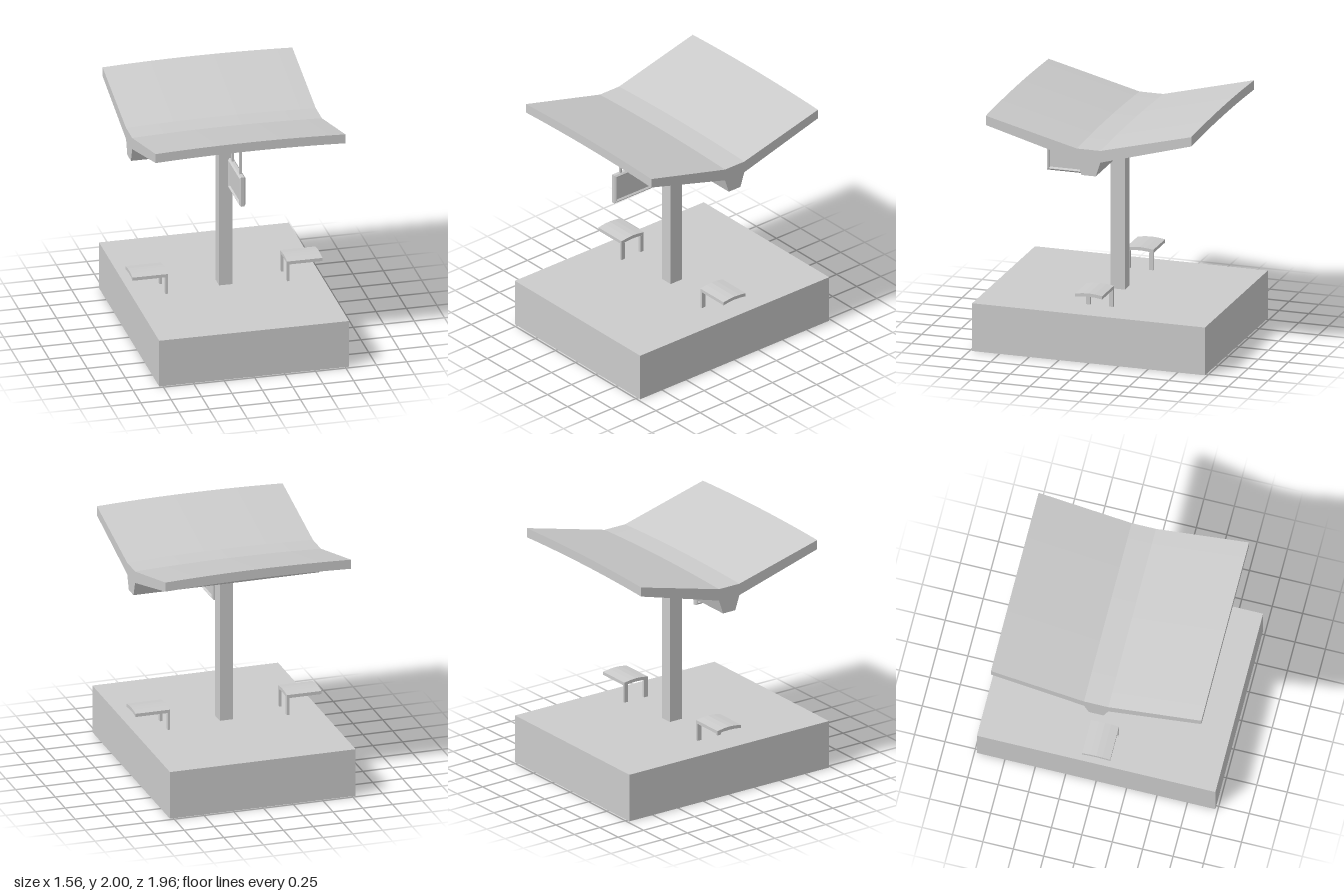
import * as THREE from 'three';

const material = new THREE.MeshStandardMaterial({ color: 0xcccccc, flatShading: true, side: THREE.DoubleSide });

function add(parent, name, geometry, x = 0, y = 0, z = 0) {
  const mesh = new THREE.Mesh(geometry, material);
  mesh.name = name;
  mesh.position.set(x, y, z);
  parent.add(mesh);
  return mesh;
}

function box(parent, name, w, h, d, x, y, z) {
  return add(parent, name, new THREE.BoxGeometry(w, h, d), x, y, z);
}

// Sweep a symmetric (z, y) half profile along x, centred on x = 0
function sweep(half, length, steps) {
  const mirrored = half.filter(([z]) => z > 0).map(([z, y]) => [-z, y]).reverse();
  const shape = new THREE.Shape([...half, ...mirrored].map(([z, y]) => new THREE.Vector2(z, y)));
  return new THREE.ExtrudeGeometry(shape, { depth: length, steps, bevelEnabled: false })
    .translate(0, 0, -length / 2)
    .rotateY(Math.PI / 2);
}

const rectangle = (Type, w, h) => new Type([[-w, -h], [w, -h], [w, h], [-w, h]]
  .map(([a, b]) => new THREE.Vector2(a, b)));

// Butterfly roof, gently arched along its length, with a beam below the valley
function roofGeometry() {
  const geometry = sweep([
    [0.06, 1.57], [0.1, 1.69], [0.865, 1.922], [0.865, 2], [0.1, 1.805],
  ], 1.56, 12);
  const p = geometry.attributes.position;
  for (let i = 0; i < p.count; i++) {
    if (p.getY(i) > 1.7) p.setY(i, p.getY(i) - 0.017 * (p.getX(i) / 0.78) ** 2);
  }
  geometry.computeVertexNormals();
  return geometry;
}

function createSign() {
  const sign = new THREE.Group();
  sign.name = 'hangingSign';
  // Bevelled frame around a recessed panel
  const shape = rectangle(THREE.Shape, 0.195, 0.1275);
  shape.holes.push(rectangle(THREE.Path, 0.168, 0.1));
  const frame = new THREE.ExtrudeGeometry(shape, {
    depth: 0.026, bevelSize: 0.012, bevelOffset: -0.012, bevelThickness: 0.012, bevelSegments: 1,
  }).translate(0, 0, -0.013).rotateY(Math.PI / 2);
  add(sign, 'signFrame', frame, 0, 1.4525, 0.415);
  box(sign, 'signPanel', 0.026, 0.21, 0.345, 0, 1.4525, 0.415);
  // Rods up to the sloping underside
  for (const [z, top] of [[0.28, 1.755], [0.535, 1.83]]) {
    box(sign, 'signRod', 0.018, top - 1.57, 0.018, 0, (top + 1.57) / 2, z);
  }
  return sign;
}

function createBench(side) {
  const bench = new THREE.Group();
  bench.name = side > 0 ? 'leftBench' : 'rightBench';
  // Curved seat with both legs at its inner end
  const seat = sweep([
    [0, 0.556], [0.06, 0.553], [0.115, 0.545], [0.115, 0.572], [0.05, 0.581], [0, 0.584],
  ], 0.29, 1);
  add(bench, 'benchSeat', seat, side * 0.635);
  for (const z of [-0.0975, 0.0975]) {
    box(bench, 'benchLeg', 0.02, 0.15, 0.035, side * 0.5, 0.473, z);
  }
  return bench;
}

export function createModel() {
  const model = new THREE.Group();
  model.name = 'platformShelter';
  box(model, 'platform', 1.56, 0.4, 1.96, 0, 0.2, 0);
  box(model, 'column', 0.11, 1.18, 0.12, 0, 0.985, 0);
  add(model, 'roof', roofGeometry());
  model.add(createSign(), createBench(1), createBench(-1));
  return model;
}
